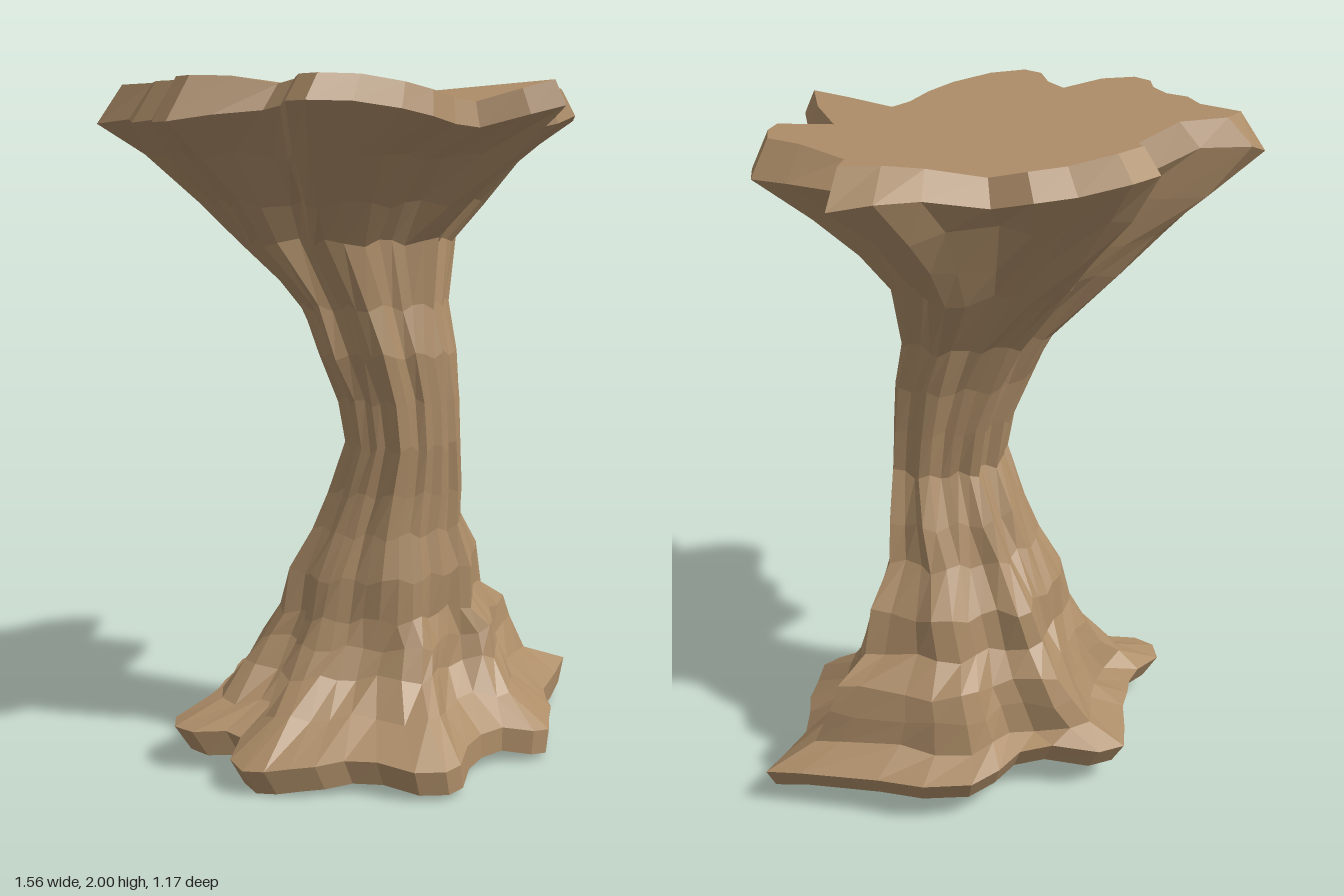
import * as THREE from 'three';

// Lobed outlines as x, z pairs, walking from +x towards +z
const topOutline = [
  .60, 0, .66, .08, .61, .17, .52, .28, .42, .32, .27, .31, .26, .38, .26, .49, .22, .58, .12, .55,
  0, .48, -.09, .49, -.18, .51, -.28, .51, -.42, .49, -.55, .47, -.56, .39, -.52, .30, -.53, .23, -.67, .20,
  -.78, .16, -.78, .08, -.72, 0, -.69, -.10, -.71, -.18, -.67, -.28, -.70, -.43, -.61, -.47, -.45, -.43, -.32, -.40,
  -.25, -.49, -.19, -.57, -.08, -.59, .05, -.53, .16, -.49, .23, -.40, .42, -.37, .56, -.37, .66, -.31, .52, -.11,
];
const baseOutline = [
  .78, 0, .68, .07, .56, .15, .50, .23, .46, .30, .39, .37, .32, .45, .26, .45, .18, .40, .09, .41,
  0, .46, -.08, .53, -.14, .54, -.22, .50, -.28, .40, -.35, .34, -.43, .31, -.49, .27, -.55, .23, -.59, .18,
  -.59, .11, -.52, .05, -.54, 0, -.62, -.06, -.64, -.13, -.60, -.20, -.48, -.24, -.40, -.29, -.35, -.34, -.29, -.39,
  -.23, -.47, -.17, -.54, -.08, -.53, .03, -.44, .13, -.41, .23, -.44, .33, -.44, .45, -.36, .54, -.25, .71, -.08,
];
const N = topOutline.length / 2;
const { lerp, clamp, mapLinear, smoothstep } = THREE.MathUtils;

// Each ring: y, xMin, xMax, zMin, zMax, blend (0 base outline, 1 top outline), share of fluted shaft
const rings = [
  [0.00, -.60, .74, -.50, .545, 0, 0],
  [0.07, -.64, .78, -.54, .545, 0, 0],
  [0.18, -.48, .62, -.44, .40, 0, .02],
  [0.27, -.39, .58, -.41, .31, 0, .04],
  [0.35, -.33, .55, -.38, .28, 0, .08],
  [0.43, -.285, .44, -.31, .24, .05, .18],
  [0.55, -.26, .41, -.29, .235, .15, .32],
  [0.68, -.20, .32, -.20, .21, .25, .45],
  [0.80, -.16, .30, -.15, .21, .35, .55],
  [0.94, -.13, .26, -.08, .22, .45, .6],
  [1.08, -.15, .255, -.10, .22, .55, .6],
  [1.22, -.21, .25, -.13, .22, .65, .55],
  [1.36, -.25, .24, -.18, .19, .75, .45],
  [1.55, -.39, .31, -.32, .20, .9, .22],
  [1.66, -.49, .40, -.40, .29, 1, .1],
  [1.79, -.64, .52, -.50, .43, 1, .03],
  [1.86, -.78, .67, -.585, .585, 1, 0],
  [1.93, -.71, .61, -.53, .56, 1, 0],
];

function range(points, axis) {
  const v = points.map((p) => p[axis]);
  return [Math.min(...v), Math.max(...v)];
}

// Blend the outlines with a fluted circle, then fit to the ring's extents
function ringPoints([y, x0, x1, z0, z1, blend, shaft], k) {
  const pts = [];
  for (let i = 0; i < N; i++) {
    const x = lerp(baseOutline[2 * i], topOutline[2 * i], blend);
    const z = lerp(baseOutline[2 * i + 1], topOutline[2 * i + 1], blend);
    const a = (i / N) * Math.PI * 2;
    const flute = 0.55 * (1 + 0.1 * Math.sin(9 * a + 0.6) + 0.07 * Math.sin(14 * a + 0.25 * k));
    pts.push([lerp(x, flute * Math.cos(a), shaft), lerp(z, flute * Math.sin(a), shaft), Math.hypot(x, z)]);
  }
  const [ax, bx] = range(pts, 0), [az, bz] = range(pts, 1);
  return pts.map(([px, pz, r], i) => {
    const x = mapLinear(px, ax, bx, x0, x1), z = mapLinear(pz, az, bz, z0, z1);
    // Rims wave up and down with the lobes; the shaft gets a slight wobble
    const lobe = clamp((r - 0.46) / 0.16, 0, 1);
    let dy = 0.012 * Math.sin(i * 1.9 + k * 2.3);
    if (k < 2) dy = 0.035 * (1 - lobe) + 0.05 * clamp((0.15 - z) / 0.2, 0, 1);
    if (k >= rings.length - 2) dy = 0.07 * lobe;
    if (k === rings.length - 2) dy -= 0.05 * smoothstep(-x, 0.55, 0.75) + 0.03 * smoothstep(x, 0.5, 0.65);
    return [x, y + dy, z];
  });
}

// Flat-shaded skin through all rings
function skinGeometry(loops) {
  const index = [];
  for (let k = 0; k < loops.length - 1; k++) {
    for (let i = 0; i < N; i++) {
      const a = k * N + i, b = k * N + (i + 1) % N;
      index.push(a, a + N, b, b, a + N, b + N);
    }
  }
  const g = new THREE.BufferGeometry();
  g.setAttribute('position', new THREE.Float32BufferAttribute(loops.flat(2), 3));
  g.setIndex(index);
  const flat = g.toNonIndexed();
  flat.computeVertexNormals();
  return flat;
}

// Closing face over a rim, shaded as one plane; up is 1 or -1
function capGeometry(loop, centreY, up) {
  const index = [];
  for (let i = 0; i < N; i++) {
    const j = (i + 1) % N;
    index.push(N, up > 0 ? j : i, up > 0 ? i : j);
  }
  const points = [...loop, [0, centreY, 0]];
  const g = new THREE.BufferGeometry();
  g.setAttribute('position', new THREE.Float32BufferAttribute(points.flat(), 3));
  g.setAttribute('normal', new THREE.Float32BufferAttribute(points.flatMap(() => [0, up, 0]), 3));
  g.setIndex(index);
  return g;
}

export function createModel() {
  const group = new THREE.Group();
  group.name = 'rockPillar';
  const stone = new THREE.MeshStandardMaterial({ color: 0xad8d68 });
  const add = (name, geometry) => {
    const mesh = new THREE.Mesh(geometry, stone);
    mesh.name = name;
    group.add(mesh);
  };
  const loops = rings.map(ringPoints);
  add('stoneColumn', skinGeometry(loops));
  add('topFace', capGeometry(loops[loops.length - 1], 1.97, 1));
  add('bottomFace', capGeometry(loops[0], 0.03, -1));
  return group;
}
